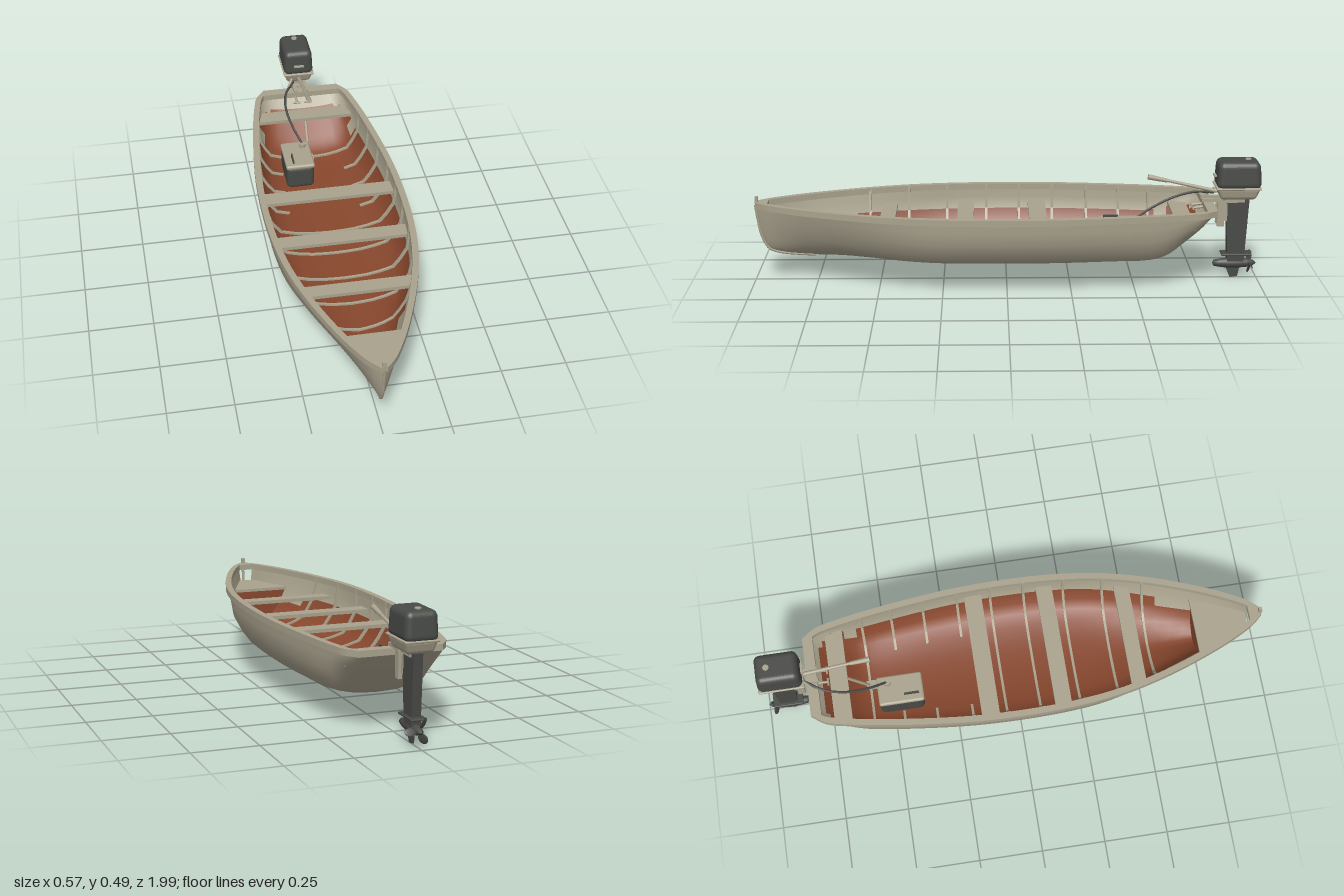
import * as THREE from 'three';
import { RoundedBoxGeometry } from 'three/addons/geometries/RoundedBoxGeometry.js';

const mat = (name, color, extra = {}) => Object.assign(new THREE.MeshStandardMaterial({ color, ...extra }), { name });
const V = (x, y, z) => new THREE.Vector3(x, y, z);
const SHEER = 0.318;

// stations along the boat: half width, keel height, z
const stations = new THREE.CatmullRomCurve3([
  [0.15, 0.30, -0.815], [0.188, 0.24, -0.76], [0.206, 0.175, -0.69], [0.22, 0.118, -0.62], [0.23, 0.10, -0.56],
  [0.252, 0.098, -0.4], [0.272, 0.097, -0.2], [0.278, 0.097, 0], [0.271, 0.097, 0.2], [0.245, 0.097, 0.4],
  [0.192, 0.099, 0.6], [0.117, 0.105, 0.8], [0.069, 0.115, 0.9], [0.046, 0.13, 0.94], [0.024, 0.18, 0.968],
  [0.011, 0.25, 0.982], [0.003, 0.31, 0.99],
].map(p => V(...p))).getPoints(64);

function stationAt(z) {
  let i = 0;
  while (i < stations.length - 2 && stations[i + 1].z < z) i++;
  const a = stations[i], b = stations[i + 1];
  return a.clone().lerp(b, THREE.MathUtils.clamp((z - a.z) / (b.z - a.z), 0, 1));
}

// half cross-section from keel to sheer: round chine amidships, V at the bow
const MID = [[0, 0], [0.18, 0.008], [0.36, 0.022], [0.57, 0.07], [0.76, 0.14], [0.87, 0.32], [0.965, 0.53], [0.985, 0.76], [1, 1]];
const BOW = [[0, 0], [0.13, 0.05], [0.24, 0.11], [0.36, 0.19], [0.48, 0.3], [0.61, 0.43], [0.76, 0.6], [0.89, 0.8], [1, 1]];
function half(s, inset = 0) {
  const b = THREE.MathUtils.smoothstep(s.z, 0.25, 0.95);
  const w = Math.max(s.x - inset, 0.001), k = s.y + inset;
  return MID.map(([x, y], i) => [w * THREE.MathUtils.lerp(x, BOW[i][0], b),
    k + (SHEER - k) * THREE.MathUtils.lerp(y, BOW[i][1], b)]);
}
function xAt(z, y) {
  const p = half(stationAt(z), 0.006);
  for (let i = 1; i < p.length; i++) if (p[i][1] >= y) {
    const t = Math.max(0, (y - p[i - 1][1]) / (p[i][1] - p[i - 1][1]));
    return THREE.MathUtils.lerp(p[i - 1][0], p[i][0], t);
  }
  return p.at(-1)[0];
}

// lofted skin; group 1 holds the painted floor
function skin(list, inset, inside) {
  const pos = [], sides = [[], []], cols = MID.length * 2 - 1;
  for (const s of list) {
    const h = half(s, inset);
    const row = [...h.slice(1).reverse().map(([x, y]) => [-x, y]), ...h];
    row.forEach(([x, y]) => pos.push(x, y, s.z));
  }
  for (let r = 0; r < list.length - 1; r++) for (let c = 0; c < cols - 1; c++) {
    const a = r * cols + c, b = a + 1, d = a + cols, e = d + 1;
    const y = (pos[a * 3 + 1] + pos[b * 3 + 1] + pos[d * 3 + 1] + pos[e * 3 + 1]) / 4;
    const floor = inside && y < (list[r].z < -0.66 ? 0.25 : 0.205) ? 1 : 0;
    sides[floor].push(...(inside ? [a, e, b, a, d, e] : [a, b, e, a, e, d]));
  }
  const g = new THREE.BufferGeometry();
  g.setAttribute('position', new THREE.Float32BufferAttribute(pos, 3));
  g.setIndex([...sides[0], ...sides[1]]);
  g.addGroup(0, sides[0].length, 0);
  g.addGroup(sides[0].length, sides[1].length, 1);
  g.computeVertexNormals();
  return g;
}

const poly = pts => new THREE.Shape(pts.map(([x, y]) => new THREE.Vector2(x, y)));
const extrude = (shape, depth) => new THREE.ExtrudeGeometry(shape, { depth, bevelEnabled: false });
// plan shape (x, z) with its top at y
const flat = (shape, depth, y) => extrude(shape, depth).rotateX(Math.PI / 2).translate(0, y, 0);
const tube = (pts, r, n = 24) => new THREE.TubeGeometry(new THREE.CatmullRomCurve3(pts.map(p => V(...p))), n, r, 8);
function rod(a, b, r1, r2 = r1) {
  const A = V(...a), B = V(...b), d = B.clone().sub(A);
  return new THREE.CylinderGeometry(r2, r1, d.length(), 12)
    .applyQuaternion(new THREE.Quaternion().setFromUnitVectors(V(0, 1, 0), d.normalize()))
    .translate(...A.add(B).multiplyScalar(0.5).toArray());
}
const box = (w, h, d, x, y, z) => new THREE.BoxGeometry(w, h, d).translate(x, y, z);
// rounded box whose x and z scale linearly from bottom to top
function taperBox(w, h, d, r, bottom, top) {
  const g = new RoundedBoxGeometry(w, h, d, 4, r), p = g.attributes.position;
  for (let i = 0; i < p.count; i++) {
    const s = THREE.MathUtils.lerp(bottom, top, p.getY(i) / h + 0.5);
    p.setXYZ(i, p.getX(i) * s, p.getY(i), p.getZ(i) * s);
  }
  g.computeVertexNormals();
  return g;
}

export function createModel() {
  const cream = mat('cream paint', 0xa9a28d), rust = mat('rust floor paint', 0x88472d), dark = mat('dark grey', 0x484a46);
  const root = new THREE.Group();
  root.name = 'motorBoat';
  const boat = new THREE.Group(), motor = new THREE.Group(), tank = new THREE.Group();
  boat.name = 'boat'; motor.name = 'outboardMotor'; tank.name = 'fuelTank';
  root.add(boat, motor, tank);
  const add = (group, name, geo, material) => {
    const m = new THREE.Mesh(geo, material);
    m.name = name;
    group.add(m);
    return m;
  };

  // hull
  add(boat, 'outerHull', skin(stations, 0, false), [cream, rust]);
  add(boat, 'innerHull', skin(stations.filter(s => s.z > -0.81 && s.z < 0.955), 0.008, true), [cream, rust]);
  add(boat, 'stemPost', tube(stations.filter(s => s.z > 0.75).map(s => [0, s.y, s.z]), 0.006, 40), cream);
  add(boat, 'bowPin', box(0.016, 0.04, 0.012, 0, 0.322, 0.985), cream);

  // gunwale with the wide transom cap
  const ring = (list, off) => [...list.map(s => [Math.max(s.x + off, 0.003), s.z]),
    ...list.slice().reverse().map(s => [-Math.max(s.x + off, 0.003), s.z])];
  const rim = poly(ring(stations, 0.009));
  rim.holes.push(poly(ring(stations.filter(s => s.z > -0.78 && s.z < 0.945), -0.016)));
  add(boat, 'gunwale', flat(rim, 0.024, 0.321), cream);

  // thwarts and bow seat
  const plank = (name, z1, z2, y, thick) => {
    const a = xAt(z1, y), b = xAt(z2, y);
    add(boat, name, flat(poly([[-a, z1], [a, z1], [b, z2], [-b, z2]]), thick, y), cream);
  };
  plank('sternThwart', -0.73, -0.66, 0.262, 0.014);
  plank('middleThwart', -0.16, -0.09, 0.255, 0.014);
  plank('middleThwart', 0.13, 0.195, 0.255, 0.014);
  plank('forwardThwart', 0.44, 0.5, 0.255, 0.014);
  plank('bowSeat', 0.73, 0.94, 0.25, 0.012);
  const levels = [0.115, 0.135, 0.16, 0.19, 0.215, 0.238];
  add(boat, 'bowBulkhead', extrude(poly([...levels.map(y => [xAt(0.735, y), y]),
    ...levels.slice().reverse().map(y => [-xAt(0.735, y), y])]), 0.008).translate(0, 0, 0.735), rust);

  // ribs: full frames forward, side pieces around the open stern well
  for (const z of [-0.58, -0.46, -0.33, -0.19, -0.055, 0.08, 0.24, 0.395, 0.55]) {
    const open = z > -0.5 && z < -0.1;
    const outer = half(stationAt(z), 0.006).slice(open ? 3 : 0);
    const inner = outer.map(([x, y]) => [x * 0.955, y + 0.009 * (1 - (y - 0.1) / 0.23)]).reverse();
    for (const s of [-1, 1]) {
      add(boat, 'rib', extrude(poly([...outer, ...inner].map(([x, y]) => [s * x, y])), 0.01).translate(0, 0, z - 0.005), cream);
    }
  }

  // stern thwart brace with its foot plate
  add(boat, 'thwartBrace', rod([0, 0.25, -0.67], [0, 0.118, -0.585], 0.006), cream);
  add(boat, 'braceFoot', box(0.035, 0.012, 0.04, 0, 0.116, -0.575), cream);

  // fuel tank and hose
  add(tank, 'tankBody', new RoundedBoxGeometry(0.116, 0.105, 0.176, 3, 0.02).translate(-0.068, 0.16, -0.462), dark);
  add(tank, 'tankLid', new RoundedBoxGeometry(0.12, 0.02, 0.18, 3, 0.009).translate(-0.068, 0.212, -0.462), cream);
  add(tank, 'tankCap', rod([-0.04, 0.22, -0.51], [-0.04, 0.238, -0.51], 0.014), cream);
  add(tank, 'tankHandle', box(0.006, 0.014, 0.06, -0.095, 0.227, -0.42), dark);
  add(tank, 'fuelHose', tube([[-0.04, 0.235, -0.515], [-0.065, 0.27, -0.58], [-0.082, 0.31, -0.67], [-0.07, 0.335, -0.75],
    [-0.025, 0.345, -0.825]], 0.005), dark);

  // motor head
  add(motor, 'cowl', taperBox(0.127, 0.11, 0.176, 0.024, 1, 0.93).translate(0, 0.43, -0.912), dark);
  add(motor, 'cowlBand', new RoundedBoxGeometry(0.13, 0.009, 0.178, 3, 0.004).translate(0, 0.379, -0.91), cream);
  add(motor, 'lowerCowl', taperBox(0.122, 0.05, 0.17, 0.014, 0.8, 1.03).translate(0, 0.358, -0.91), cream);
  add(motor, 'cowlKnob', rod([0, 0.482, -0.95], [0, 0.49, -0.95], 0.012), cream);
  add(motor, 'neck', box(0.046, 0.03, 0.08, 0, 0.33, -0.9), cream);

  // clamp bracket over the transom
  for (const s of [-1, 1]) {
    add(motor, 'clampArm', box(0.014, 0.1, 0.028, s * 0.024, 0.27, -0.846), cream);
    add(motor, 'clampHook', box(0.014, 0.014, 0.085, s * 0.024, 0.327, -0.812), cream);
    add(motor, 'clampScrew', rod([s * 0.024, 0.3, -0.775], [s * 0.024, 0.295, -0.735], 0.005), cream);
    add(motor, 'screwHandle', rod([s * 0.024 - 0.015, 0.295, -0.735], [s * 0.024 + 0.015, 0.295, -0.735], 0.004), cream);
  }
  add(motor, 'swivelBlock', box(0.04, 0.07, 0.03, 0, 0.275, -0.858), cream);

  // tiller and shift lever
  add(motor, 'tillerArm', rod([0, 0.357, -0.83], [0, 0.402, -0.63], 0.008, 0.006), cream);
  add(motor, 'tillerGrip', rod([0, 0.4, -0.635], [0, 0.416, -0.558], 0.008, 0.011), cream);
  add(motor, 'tillerBar', box(0.042, 0.006, 0.012, 0, 0.422, -0.822), cream);
  add(motor, 'shiftLever', rod([-0.032, 0.362, -0.825], [-0.058, 0.325, -0.79], 0.005), cream);

  // drive leg
  const leg = extrude(poly([[-0.866, 0.345], [-0.96, 0.345], [-0.946, 0.07], [-0.88, 0.07]]), 0.036);
  add(motor, 'driveLeg', leg.rotateY(-Math.PI / 2).translate(0.018, 0, 0), dark);
  add(motor, 'cavitationPlate', new RoundedBoxGeometry(0.06, 0.008, 0.12, 2, 0.003).translate(0, 0.1, -0.915), dark);
  const body = [[0, -0.09], [0.011, -0.078], [0.018, -0.05], [0.02, -0.01], [0.02, 0.03], [0.016, 0.06], [0.012, 0.08], [0, 0.085]];
  const pod = new THREE.LatheGeometry(body.map(([x, y]) => new THREE.Vector2(x, y)), 20);
  add(motor, 'gearCase', pod.rotateX(Math.PI / 2).translate(0, 0.06, -0.908), dark);
  const skeg = extrude(poly([[-0.87, 0.06], [-0.935, 0.06], [-0.925, 0.004], [-0.895, 0]]), 0.006);
  add(motor, 'skeg', skeg.rotateY(-Math.PI / 2).translate(0.003, 0, 0), dark);

  // propeller
  for (let i = 0; i < 3; i++) {
    const blade = new THREE.SphereGeometry(1, 14, 10).scale(0.022, 0.016, 0.003).rotateX(0.6).translate(0.032, 0, 0)
      .rotateZ(i * Math.PI * 2 / 3).translate(0, 0.06, -0.972);
    add(motor, 'propellerBlade', blade, dark);
  }
  return root;
}
